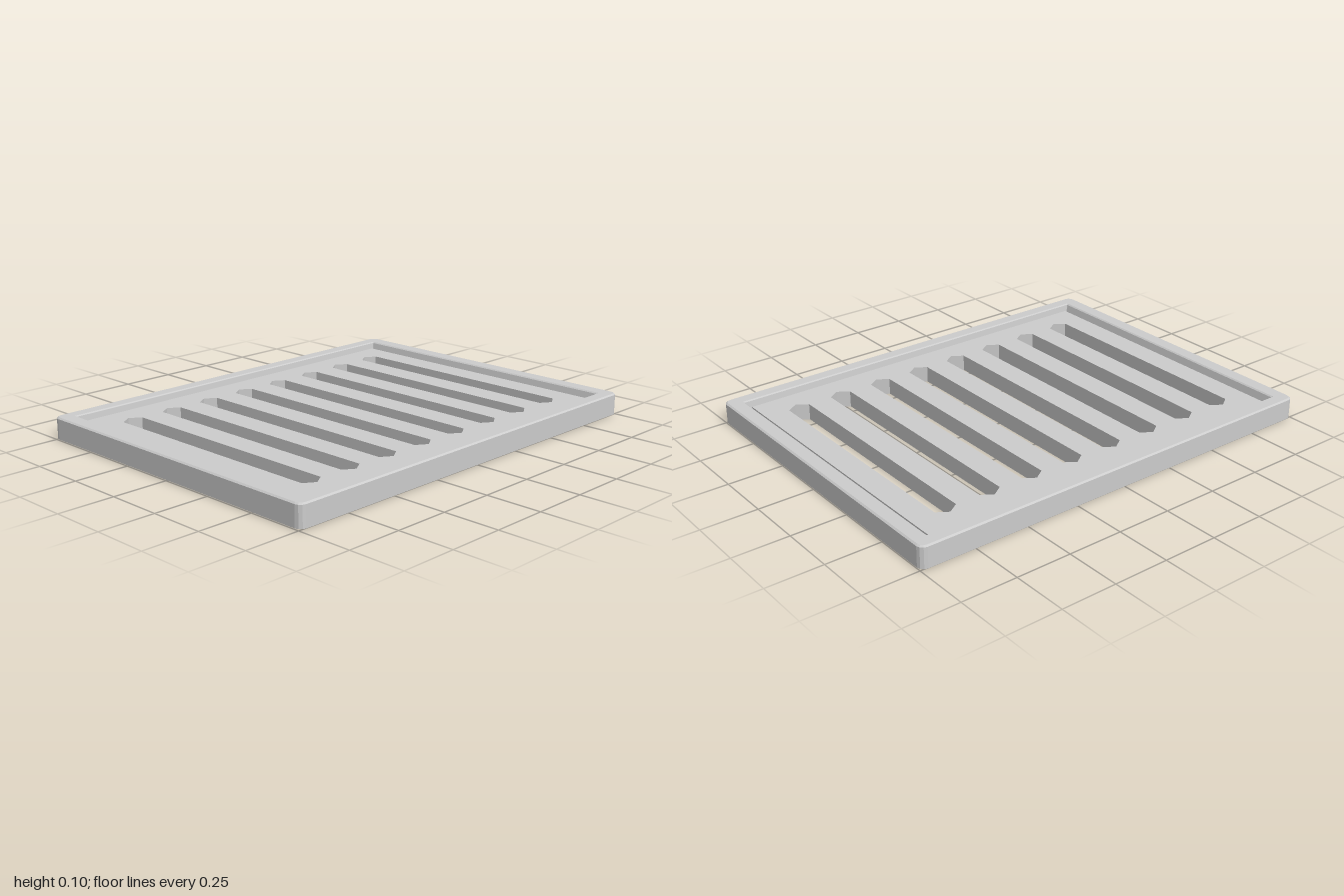
import * as THREE from 'three';

const material = new THREE.MeshStandardMaterial({ color: 0xcccccc, flatShading: true, side: THREE.DoubleSide });

// Points of a rectangle with rounded corners, 4 per corner
function roundedLoop(hx, hz, r) {
  const points = [];
  [[1, 1], [-1, 1], [-1, -1], [1, -1]].forEach(([sx, sz], corner) => {
    for (let i = 0; i < 4; i++) {
      const a = (corner + i / 3) * Math.PI / 2;
      points.push([sx * (hx - r) + r * Math.cos(a), sz * (hz - r) + r * Math.sin(a)]);
    }
  });
  return points;
}

// Skin a list of [loop of x-z points, height] sections with equal point counts
function skinLoops(sections) {
  const positions = [], indices = [], n = sections[0][0].length;
  for (const [loop, y] of sections) {
    for (const [x, z] of loop) positions.push(x, y, z);
  }
  for (let s = 0; s < sections.length - 1; s++) {
    for (let i = 0; i < n; i++) {
      const a = s * n + i, b = s * n + (i + 1) % n;
      indices.push(a, a + n, b, b, a + n, b + n);
    }
  }
  const geometry = new THREE.BufferGeometry();
  geometry.setAttribute('position', new THREE.Float32BufferAttribute(positions, 3));
  geometry.setIndex(indices);
  geometry.computeVertexNormals();
  return geometry;
}

export function createModel() {
  const group = new THREE.Group();
  group.name = 'drainGrate';
  const add = (name, geometry) => {
    const mesh = new THREE.Mesh(geometry, material);
    mesh.name = name;
    group.add(mesh);
    return mesh;
  };

  // Frame: outer wall, bevelled top rim and tapered inner wall, open underneath
  add('frame', skinLoops([
    [roundedLoop(1, 0.76, 0.03), 0.004],
    [roundedLoop(1, 0.76, 0.03), 0.096],
    [roundedLoop(0.993, 0.753, 0.025), 0.102],
    [roundedLoop(0.935, 0.702, 0.004), 0.102],
    [roundedLoop(0.929, 0.697, 0.004), 0.097],
    [roundedLoop(0.907, 0.685, 0.004), 0.01],
  ]));

  // Thin slotted sheet with skirts hanging from its rim and from every slot
  const sheetY = 0.075, skirtY = 0;
  const hx = 0.903, hz = 0.681;
  const rim = [[-hx, -hz], [hx, -hz], [hx, hz], [-hx, hz]];
  const toVectors = loop => loop.map(([x, z]) => new THREE.Vector2(x, -z));
  const sheet = new THREE.Shape(toVectors(rim));
  add('plateSkirt', skinLoops([[rim, skirtY], [rim, sheetY]]));

  // Slots with pointed ends
  const slotCount = 8, spacing = 0.212, w = 0.05, shoulder = 0.55, tip = 0.583;
  for (let i = 0; i < slotCount; i++) {
    const x = (i - (slotCount - 1) / 2) * spacing;
    const slot = [
      [x - w, -shoulder], [x - w, shoulder], [x, tip],
      [x + w, shoulder], [x + w, -shoulder], [x, -tip],
    ];
    sheet.holes.push(new THREE.Path(toVectors(slot)));
    add('slotWall', skinLoops([[slot, sheetY], [slot, skirtY]]));
  }

  const plate = add('slottedPlate', new THREE.ShapeGeometry(sheet).rotateX(-Math.PI / 2));
  plate.position.y = sheetY;

  return group;
}
